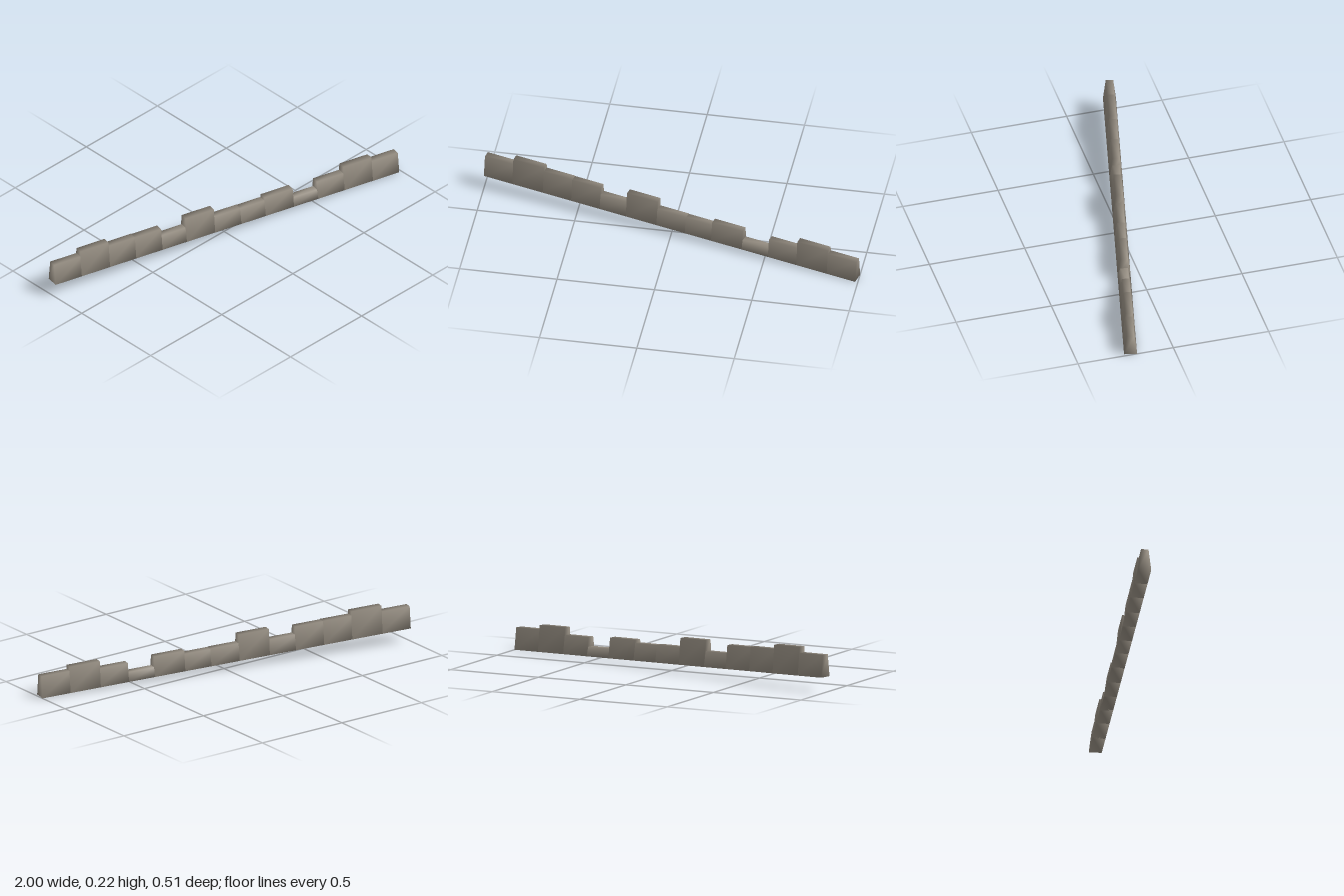
import * as THREE from 'three';
import { mergeVertices } from 'three/addons/utils/BufferGeometryUtils.js';

const HALF_LENGTH = 1.0176; // along the wall axis
const BLOCK = 0.167;        // block length, slightly overlapping its neighbours
const DROP = 0.077;         // fall of the ground line from end to end
const BASE_HALF = 0.033, TOP_HALF = 0.019;

const stone = new THREE.MeshStandardMaterial({ color: 0x9a9286 });
stone.name = 'stone';

// ground height at a distance along the wall
const ground = (s) => DROP * (0.5 - s / (2 * HALF_LENGTH));

// tapered block whose base and top follow the sloping ground, softly shaded
function wallBlock(centre, height) {
  const geo = new THREE.BoxGeometry(BLOCK, 1, 2);
  const p = geo.attributes.position;
  for (let i = 0; i < p.count; i++) {
    const s = centre + p.getX(i);
    const top = p.getY(i) > 0;
    p.setXYZ(i, s, ground(s) + (top ? height : 0), p.getZ(i) * (top ? TOP_HALF : BASE_HALF));
  }
  geo.deleteAttribute('normal');
  geo.deleteAttribute('uv');
  const merged = mergeVertices(geo);
  merged.computeVertexNormals();
  return new THREE.Mesh(merged, stone);
}

export function createModel() {
  const model = new THREE.Group();
  model.name = 'ruinedWall';

  // top level of each block at its middle, from right end to left end
  const tops = [0.188, 0.213, 0.185, 0.177, 0.129, 0.180, 0.128, 0.120, 0.131, 0.068, 0.111, 0.144, 0.116];
  const first = -HALF_LENGTH + BLOCK / 2;
  const step = (-2 * first) / (tops.length - 1);
  const wall = new THREE.Group();
  wall.name = 'wall';
  tops.forEach((top, i) => {
    const centre = first + i * step;
    const block = wallBlock(centre, top - ground(centre));
    block.name = `wallBlock${i + 1}`;
    wall.add(block);
  });

  // the wall runs diagonally from back right to front left
  wall.rotation.y = -Math.atan2(0.2225, 0.993);
  model.add(wall);
  return model;
}
